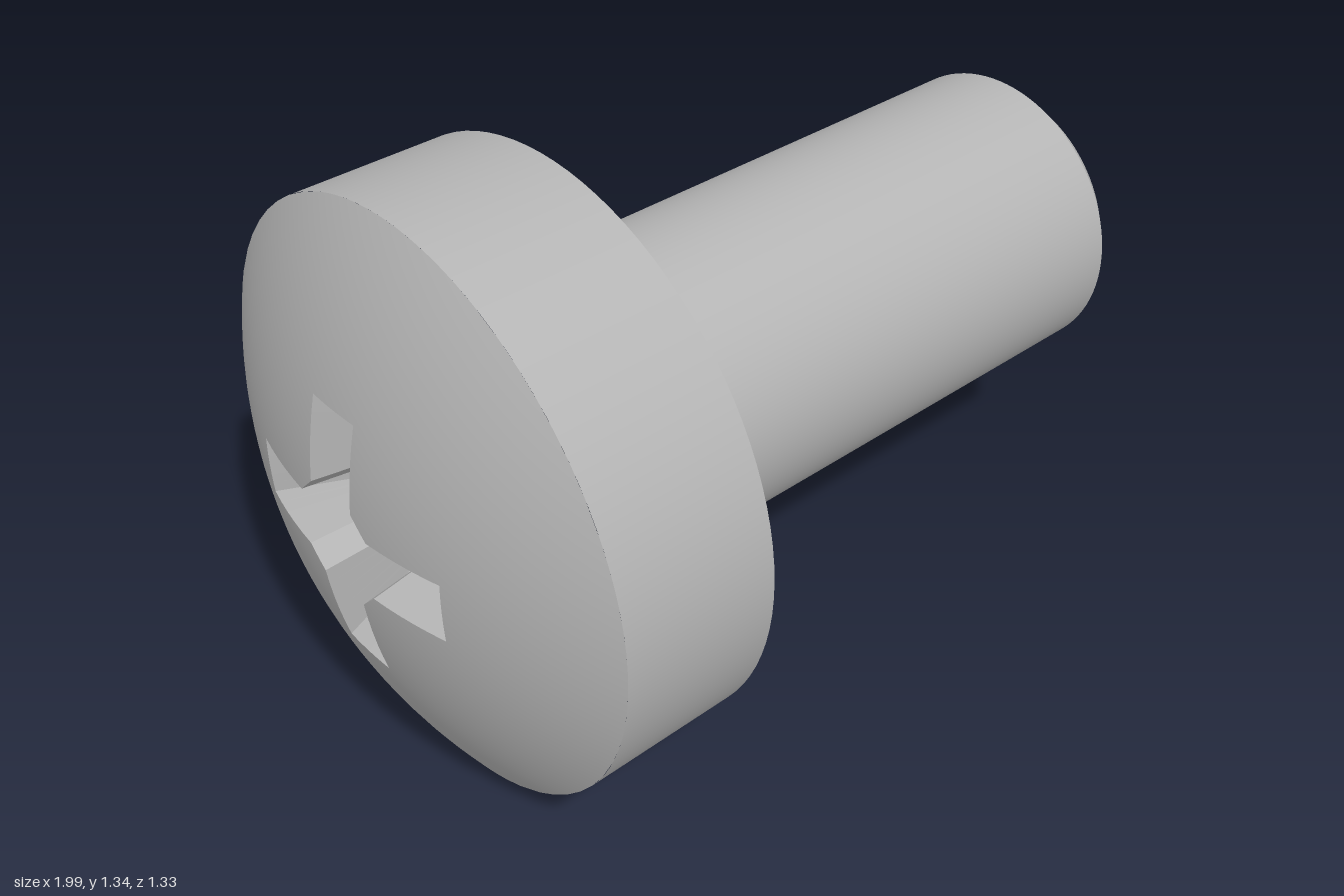
import * as THREE from 'three';

const HEAD_R = 0.667, APEX = -1.0, RIM = -0.802, UNDER = -0.437;
const SHAFT_R = 0.355, FILLET = 0.065, END = 0.996;
const SAG = RIM - APEX;
const DOME_R = (HEAD_R * HEAD_R + SAG * SAG) / (2 * SAG);
const domeX = r => APEX + DOME_R - Math.sqrt(DOME_R * DOME_R - r * r);

// Cross outline in (y, z): arm tip radius, half width, inner corner chamfer
function crossOutline(tip, half, corner) {
  const quarter = [[tip, -half], [tip, half], [corner, half], [half, corner]];
  const steps = [6, 5, 5, 5];
  const corners = [];
  for (let q = 0; q < 4; q++) {
    const c = Math.round(Math.cos(q * Math.PI / 2)), s = Math.round(Math.sin(q * Math.PI / 2));
    for (const [a, b] of quarter) corners.push([a * c - b * s, a * s + b * c]);
  }
  const out = [];
  corners.forEach((p, i) => {
    const n = corners[(i + 1) % corners.length], k = steps[i % 4];
    for (let j = 0; j < k; j++) {
      const t = j / k;
      out.push([p[0] + (n[0] - p[0]) * t, p[1] + (n[1] - p[1]) * t]);
    }
  });
  return out;
}

// Skin between closed rings listed from the axis outwards, facing -x
function loft(rings) {
  const n = rings[0].length, pos = [], idx = [];
  rings.forEach(ring => ring.forEach(p => pos.push(...p)));
  for (let j = 0; j < rings.length - 1; j++) {
    for (let i = 0; i < n; i++) {
      const a = j * n + i, b = j * n + (i + 1) % n;
      idx.push(a, b, a + n, b, b + n, a + n);
    }
  }
  const g = new THREE.BufferGeometry();
  g.setAttribute('position', new THREE.Float32BufferAttribute(pos, 3));
  g.setIndex(idx);
  return g;
}

// Turned surface along +x from [x, radius] points
function turned(points) {
  const g = new THREE.LatheGeometry(points.map(([x, r]) => new THREE.Vector2(r, x)), 96);
  return g.rotateZ(-Math.PI / 2);
}

export function createModel() {
  const steel = new THREE.MeshStandardMaterial({ color: 0xb4b4b4 });
  steel.name = 'steel grey';
  const model = new THREE.Group();
  model.name = 'screw';
  const add = (name, geometry) => {
    const mesh = new THREE.Mesh(geometry, steel);
    mesh.name = name;
    model.add(mesh);
  };

  // Domed head face around the cross opening
  const rim = crossOutline(0.31, 0.07, 0.115);
  const rings = [];
  for (let j = 0; j <= 8; j++) {
    rings.push(rim.map(([y, z]) => {
      const r = Math.hypot(y, z), d = r + (HEAD_R - r) * j / 8;
      return [domeX(d), y / r * d, z / r * d];
    }));
  }
  const dome = loft(rings);
  const p = dome.attributes.position, normals = [];
  for (let i = 0; i < p.count; i++) {
    normals.push((p.getX(i) - APEX - DOME_R) / DOME_R, p.getY(i) / DOME_R, p.getZ(i) / DOME_R);
  }
  dome.setAttribute('normal', new THREE.Float32BufferAttribute(normals, 3));
  add('headDome', dome);

  // Tapered cross recess: walls, then a shallow conical floor
  const floor = crossOutline(0.15, 0.05, 0.085).map(([y, z]) => [-0.7, y, z]);
  const recess = loft([floor.map(() => [-0.66, 0, 0]), floor, rings[0]]).toNonIndexed();
  recess.computeVertexNormals();
  add('crossRecess', recess);

  // Head side
  add('headSide', turned([[RIM, HEAD_R], [UNDER, HEAD_R]]));

  // Underside blending through a fillet into the shaft
  const shaft = [[UNDER, HEAD_R], [UNDER, SHAFT_R + FILLET + 0.01]];
  for (let i = 0; i <= 8; i++) {
    const a = i / 8 * Math.PI / 2;
    shaft.push([UNDER + FILLET * (1 - Math.cos(a)), SHAFT_R + FILLET * (1 - Math.sin(a))]);
  }
  shaft.push([UNDER + FILLET + 0.01, SHAFT_R], [0.945, SHAFT_R]);
  add('shaft', turned(shaft));

  // Chamfered tip
  add('tipChamfer', turned([[0.945, SHAFT_R], [END, 0.31]]));
  add('tipFace', turned([[END, 0.31], [END, 0]]));

  // Slight lean of the axis
  model.rotation.z = 0.0135;
  model.position.y = 0.679;
  const root = new THREE.Group();
  root.name = 'machineScrew';
  root.add(model);
  return root;
}
